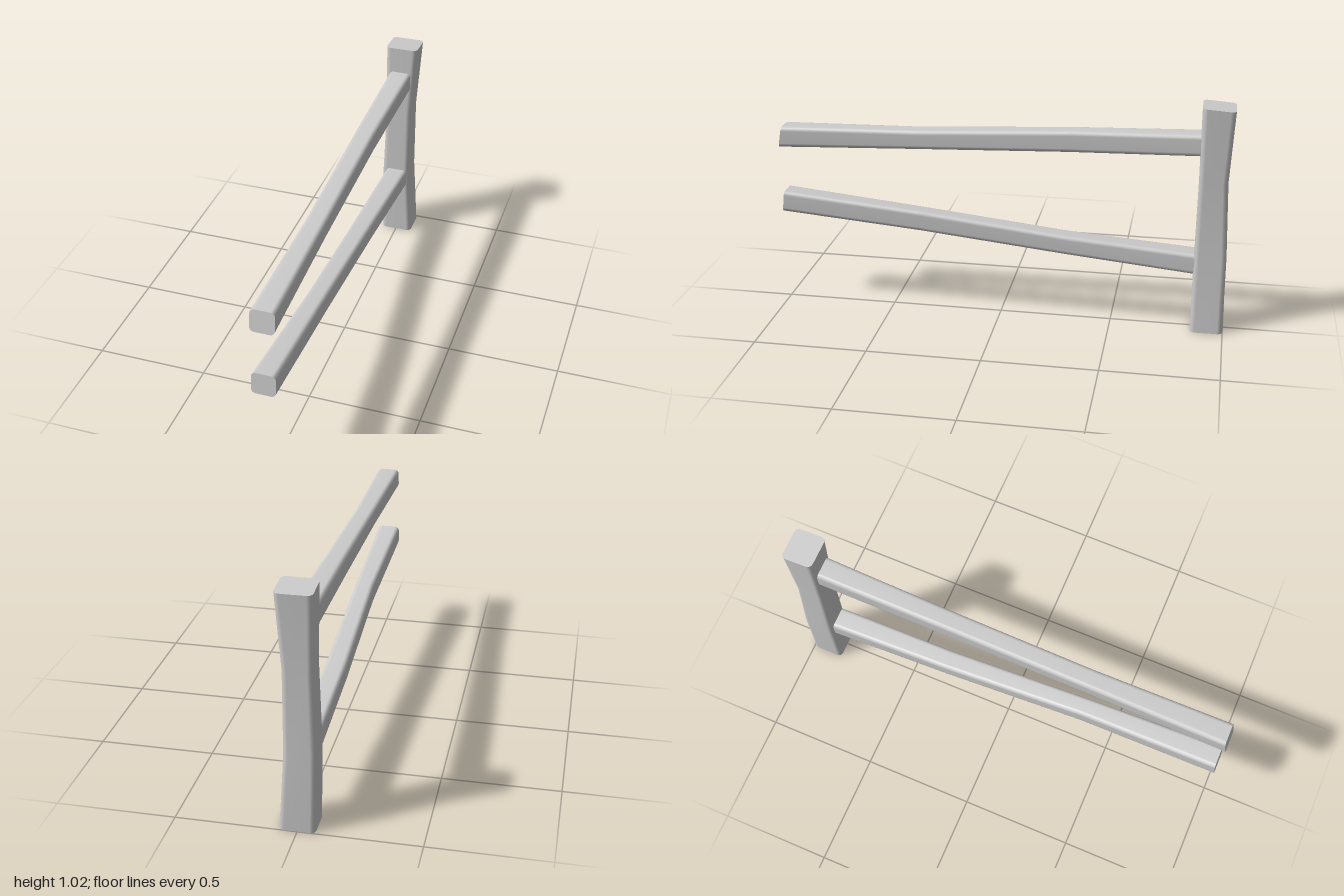
import * as THREE from 'three';

// Outline of a rounded rectangle, counter-clockwise
function roundedRing(x0, x1, y0, y1, r, steps = 4) {
  const corners = [[x1 - r, y1 - r], [x0 + r, y1 - r], [x0 + r, y0 + r], [x1 - r, y0 + r]];
  const ring = [];
  corners.forEach(([cx, cy], q) => {
    for (let i = 0; i <= steps; i++) {
      const a = (q + i / steps) * Math.PI / 2;
      ring.push([cx + r * Math.cos(a), cy + r * Math.sin(a)]);
    }
  });
  return ring;
}

// Beam along +z through sections [z, x0, x1, y0, y1, slope of the cut]
function beamGeometry(sections, r) {
  const positions = [], index = [];
  const rings = sections.map(([z, x0, x1, y0, y1, slope = 0]) =>
    roundedRing(x0, x1, y0, y1, r).map(([x, y]) => [x, y, z + slope * (y - (y0 + y1) / 2)]));
  const n = rings[0].length;
  rings.forEach(ring => ring.forEach(p => positions.push(...p)));
  for (let s = 0; s < rings.length - 1; s++) {
    for (let j = 0; j < n; j++) {
      const a = s * n + j, b = s * n + (j + 1) % n;
      index.push(a, b, b + n, a, b + n, a + n);
    }
  }
  // End caps with their own vertices for sharp edges
  [rings[0], rings[rings.length - 1]].forEach((ring, end) => {
    const base = positions.length / 3;
    ring.forEach(p => positions.push(...p));
    for (let j = 1; j < n - 1; j++) {
      if (end) index.push(base, base + j, base + j + 1);
      else index.push(base, base + j + 1, base + j);
    }
  });
  const geometry = new THREE.BufferGeometry();
  geometry.setAttribute('position', new THREE.Float32BufferAttribute(positions, 3));
  geometry.setIndex(index);
  geometry.computeVertexNormals();
  return geometry;
}

export function createModel() {
  const group = new THREE.Group();
  const grey = new THREE.MeshStandardMaterial({ color: 0xcccccc });
  grey.name = 'plain grey';

  const addBeam = (name, sections, r) => {
    const mesh = new THREE.Mesh(beamGeometry(sections, r), grey);
    mesh.name = name;
    group.add(mesh);
    return mesh;
  };

  // Upright post with a worn waist, turned from +z to +y
  const post = addBeam('post', [
    [0, -0.073, 0.076, 0.857, 1.0],
    [0.34, -0.078, 0.054, 0.858, 0.998],
    [0.69, -0.068, 0.056, 0.861, 0.985],
    [1.02, -0.073, 0.076, 0.86, 1.0, -0.07],
  ], 0.022);
  post.rotation.x = -Math.PI / 2;

  // Upper rail
  addBeam('upperRail', [
    [-0.88, -0.053, 0.05, 0.806, 0.902],
    [-0.3, -0.05, 0.04, 0.789, 0.884],
    [0.37, -0.047, 0.041, 0.764, 0.85],
    [0.992, -0.053, 0.05, 0.742, 0.837, -0.16],
  ], 0.019);

  // Lower rail
  addBeam('lowerRail', [
    [-0.88, -0.058, 0.045, 0.26, 0.356],
    [-0.3, -0.055, 0.037, 0.31, 0.398],
    [0.37, -0.044, 0.042, 0.381, 0.474],
    [0.995, -0.058, 0.045, 0.434, 0.53, -0.1],
  ], 0.019);

  return group;
}
